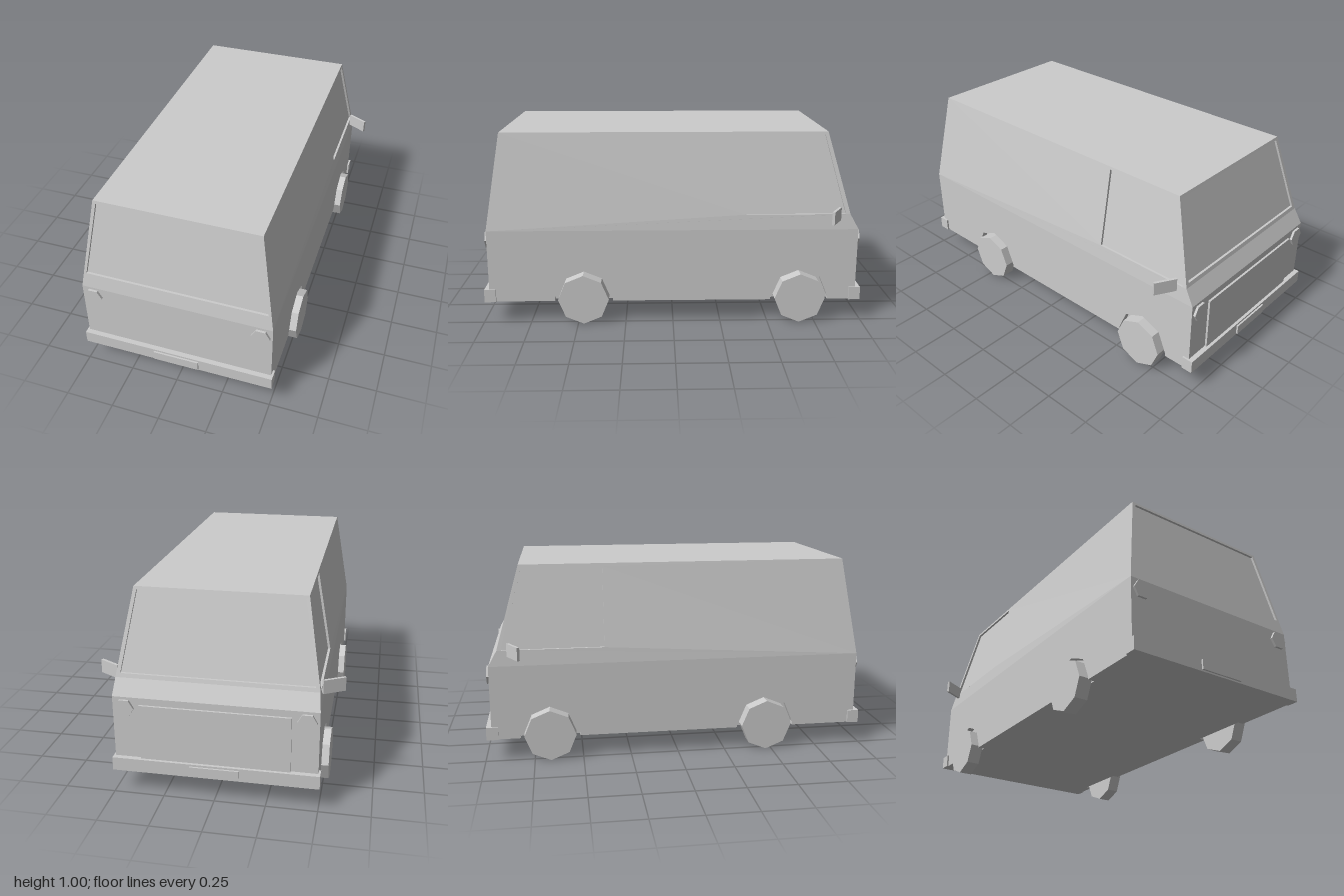
import * as THREE from 'three';

const grey = new THREE.MeshStandardMaterial({ color: 0xcccccc, flatShading: true });
grey.name = 'body grey';

// Mesh from a list of quads or triangles, corners counter-clockwise from outside
function faces(name, polys) {
  const pos = [];
  for (const p of polys) {
    for (let i = 1; i < p.length - 1; i++) pos.push(...p[0], ...p[i], ...p[i + 1]);
  }
  const geo = new THREE.BufferGeometry();
  geo.setAttribute('position', new THREE.Float32BufferAttribute(pos, 3));
  geo.computeVertexNormals();
  return named(name, geo);
}

function named(name, geo, x = 0, y = 0, z = 0) {
  const mesh = new THREE.Mesh(geo, grey);
  mesh.name = name;
  mesh.position.set(x, y, z);
  return mesh;
}

const box = (name, w, h, d, x, y, z) => named(name, new THREE.BoxGeometry(w, h, d), x, y, z);
const flip = (poly) => poly.map(([x, y, z]) => [-x, y, z]).reverse();

// Frame around an opening, with a recessed pane; shift is the inward offset
function windowPanel(outer, inner, shift) {
  const deep = inner.map((p) => p.map((v, k) => v + shift[k]));
  const frame = [];
  for (let i = 0; i < 4; i++) {
    const j = (i + 1) % 4;
    frame.push([outer[i], outer[j], inner[j], inner[i]]);
    frame.push([inner[i], inner[j], deep[j], deep[i]]);
  }
  return { frame, pane: deep };
}

export function createModel() {
  const van = new THREE.Group();
  van.name = 'van';

  // Key corners on the +x side
  const rearBelt = [0.495, 0.5, 0.965], cabBelt = [0.495, 0.5, -0.965];
  const cabSill = [0.488, 0.58, -0.92];
  const cabRoof = [0.415, 1, -0.8], rearRoof = [0.415, 1, 0.888];
  const m = ([x, y, z]) => [-x, y, z];

  // Side walls with door windows
  const onSide = (y, z) => [0.415 + 0.174 * (1 - y), y, z];
  const side = windowPanel(
    [rearBelt, cabSill, cabRoof, rearRoof],
    [onSide(0.58, -0.38), onSide(0.58, -0.897), onSide(0.985, -0.785), onSide(0.985, -0.38)],
    [-0.012, 0, 0]
  );
  const wall = [...side.frame, [rearBelt, cabBelt, cabSill]];
  van.add(faces('leftUpperWall', wall), faces('leftDoorWindow', [side.pane]));
  van.add(faces('rightUpperWall', wall.map(flip)), faces('rightDoorWindow', [flip(side.pane)]));

  // Tail wall and its window
  const onTail = (x, y) => [x, y, 0.965 - 0.154 * (y - 0.5)];
  const tail = windowPanel(
    [m(rearBelt), rearBelt, rearRoof, m(rearRoof)],
    [onTail(-0.468, 0.58), onTail(0.468, 0.58), onTail(0.4, 0.985), onTail(-0.4, 0.985)],
    [0, 0, -0.012]
  );
  van.add(faces('tailWall', tail.frame), faces('tailWindow', [tail.pane]));

  // Cab wall, windscreen and sill
  const onCab = (x, y) => [x, y, -0.92 + 0.286 * (y - 0.58)];
  const cab = windowPanel(
    [cabSill, m(cabSill), m(cabRoof), cabRoof],
    [onCab(0.465, 0.6), onCab(-0.465, 0.6), onCab(-0.4, 0.985), onCab(0.4, 0.985)],
    [0, 0, 0.012]
  );
  van.add(faces('cabFrame', cab.frame), faces('windscreen', [cab.pane]));
  van.add(faces('cabSill', [[cabBelt, m(cabBelt), m(cabSill), cabSill]]));
  van.add(faces('roof', [[m(rearRoof), rearRoof, cabRoof, m(cabRoof)]]));

  // Lower body: core plus side plates with octagonal wheel arches
  const axles = [0.47, -0.667];
  van.add(box('lowerBody', 0.92, 0.385, 1.93, 0, 0.3075, 0));
  const plate = new THREE.Shape();
  plate.moveTo(-0.965, 0.115);
  for (const z of axles) {
    plate.lineTo(-z - 0.152, 0.115);
    for (let i = 4; i >= 0; i--) {
      const a = (i * Math.PI) / 4;
      plate.lineTo(-z + 0.152 * Math.cos(a), 0.133 + 0.152 * Math.sin(a));
    }
    plate.lineTo(-z + 0.152, 0.115);
  }
  plate.lineTo(0.965, 0.115);
  plate.lineTo(0.965, 0.5);
  plate.lineTo(-0.965, 0.5);
  const plateGeo = new THREE.ExtrudeGeometry(plate, { depth: 0.035, bevelEnabled: false });
  plateGeo.rotateY(Math.PI / 2);
  van.add(named('leftLowerSide', plateGeo, 0.46), named('rightLowerSide', plateGeo, -0.495));

  // Wheels
  const wheelGeo = new THREE.CylinderGeometry(0.133, 0.133, 0.07, 8).rotateZ(Math.PI / 2);
  for (const s of [1, -1]) {
    for (const z of axles) van.add(named('wheel', wheelGeo, s * 0.495, 0.133, z));
  }

  // Bumpers, number plates and hexagonal lamps at both ends
  const lampGeo = new THREE.CylinderGeometry(0.048, 0.048, 0.02, 6);
  lampGeo.rotateY(Math.PI / 2).rotateX(Math.PI / 2);
  for (const e of [1, -1]) {
    van.add(box('bumper', 1.01, 0.068, 0.06, 0, 0.149, e * 0.961));
    van.add(box('numberPlate', 0.24, 0.05, 0.02, 0, 0.148, e * 0.99));
    for (const s of [1, -1]) van.add(named('lamp', lampGeo, s * 0.437, 0.445, e * 0.967));
  }

  // Cab grille panel
  van.add(box('grillePanel', 0.73, 0.29, 0.02, 0, 0.32, -0.966));

  // Swept-back door mirrors
  for (const s of [1, -1]) {
    const mirror = box('mirror', 0.115, 0.068, 0.014, s * 0.543, 0.584, -0.836);
    mirror.rotation.y = -s * 0.52;
    van.add(mirror);
  }
  return van;
}
